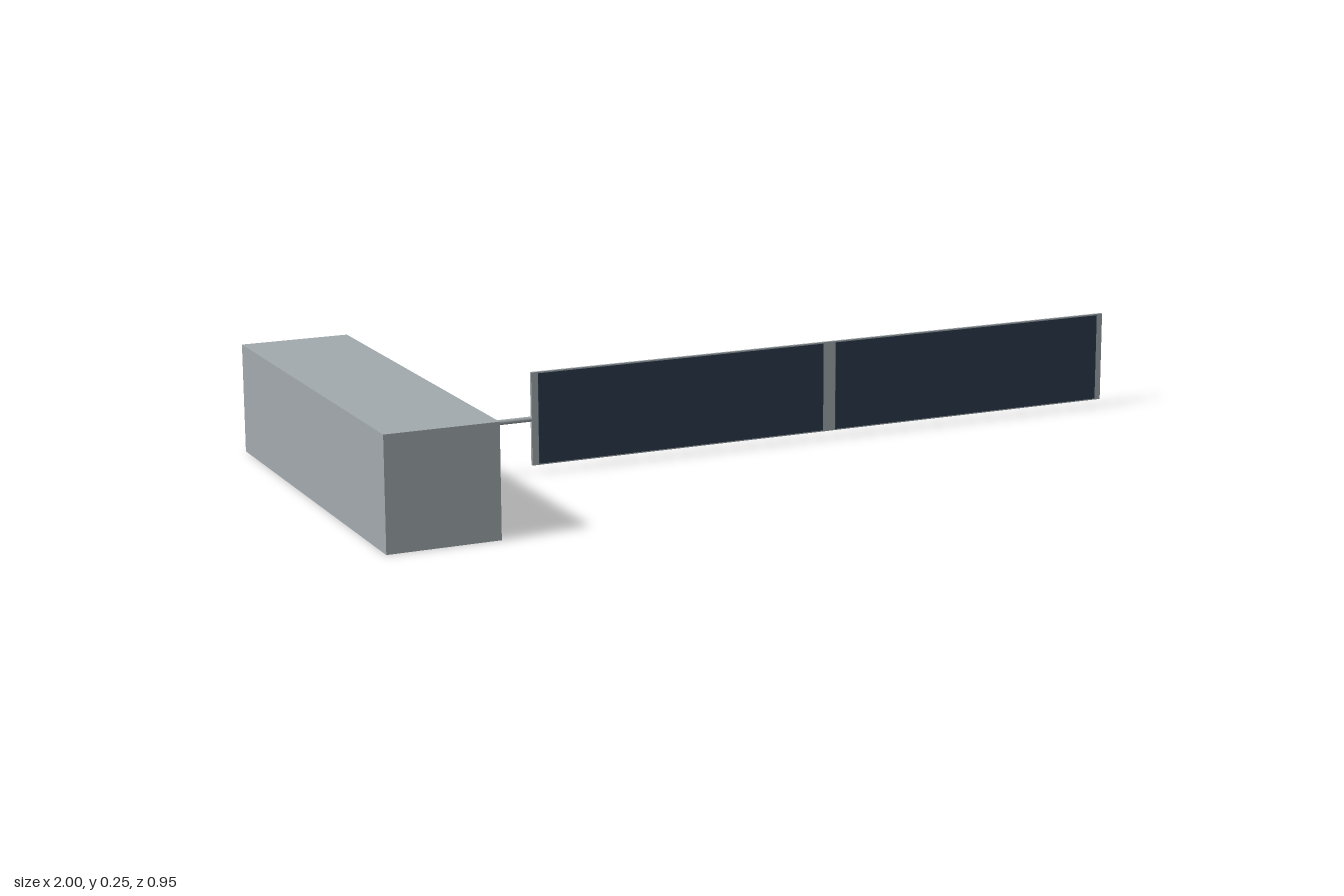
import * as THREE from 'three';

export function createModel() {
  const model = new THREE.Group();
  const grey = new THREE.MeshStandardMaterial({ color: 0xa3abae });
  grey.name = 'light grey';
  const navy = new THREE.MeshStandardMaterial({ color: 0x2c3a4e });
  navy.name = 'navy';

  const add = (name, geometry, material, x, y, z) => {
    const mesh = new THREE.Mesh(geometry, material);
    mesh.name = name;
    mesh.position.set(x, y, z);
    model.add(mesh);
    return mesh;
  };
  const midY = 0.125;

  // Long box body lying along z
  add('body', new THREE.BoxGeometry(0.25, 0.25, 0.95), grey, -0.875, midY, 0);

  // Thin boom from the body to the panel
  const boom = add('boom', new THREE.CylinderGeometry(0.006, 0.006, 0.262, 12), grey, -0.62, midY, 0);
  boom.rotation.z = Math.PI / 2;

  // Flat panel with two dark cell areas on its front
  add('panelFrame', new THREE.BoxGeometry(1.488, 0.212, 0.007), grey, 0.256, midY, -0.0005);
  for (const side of [-1, 1]) {
    add(side < 0 ? 'innerCells' : 'outerCells', new THREE.BoxGeometry(0.712, 0.206, 0.002),
      navy, 0.256 + side * 0.372, midY, 0.0035);
  }
  return model;
}
